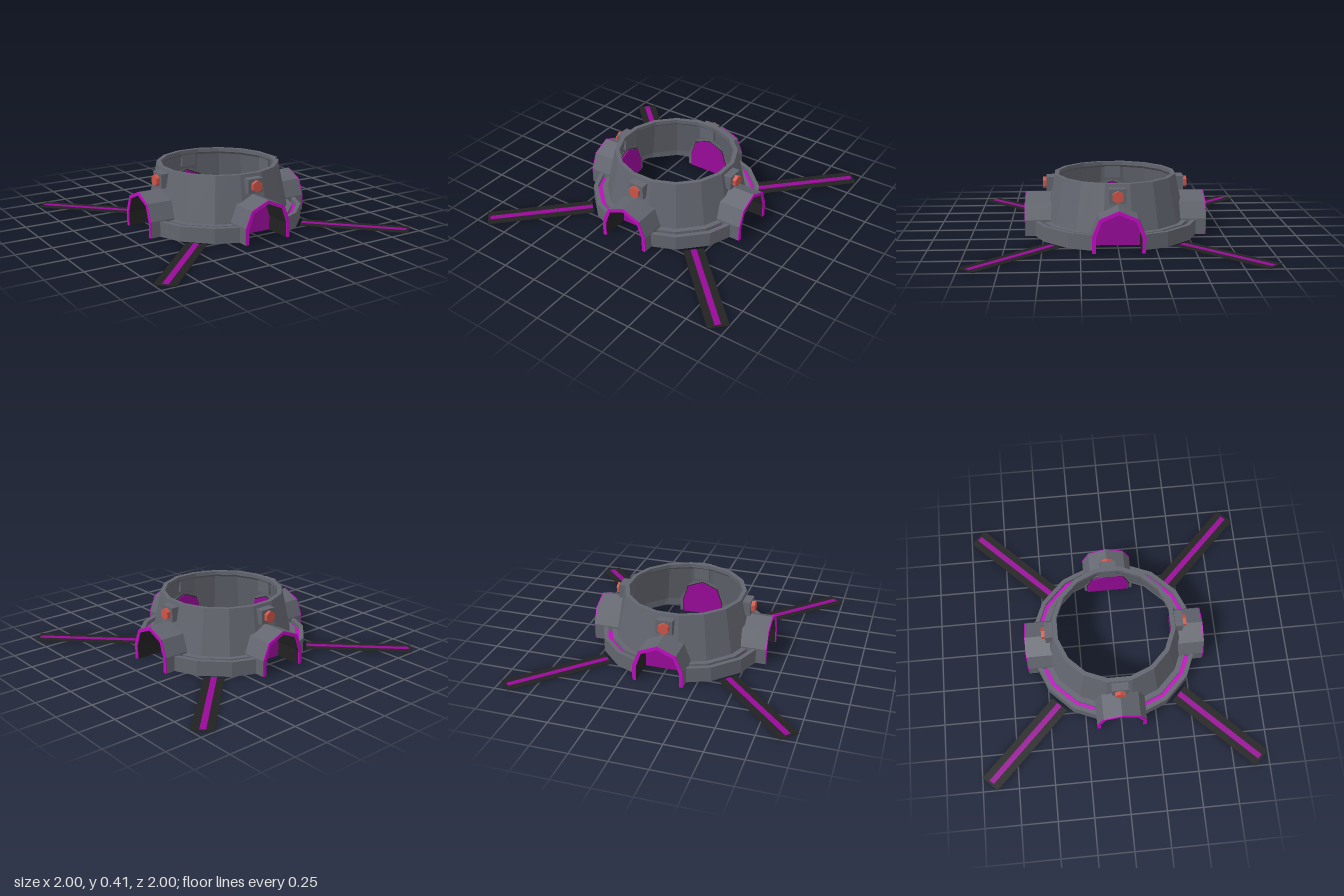
import * as THREE from 'three';

const mat = (name, color, flatShading = true) => {
  const m = new THREE.MeshStandardMaterial({ color, flatShading });
  m.name = name;
  return m;
};

// 16-sided plan, with flats facing the axes
const HALF = Math.PI / 16;
const S = Math.sin(2 * HALF), C = Math.cos(2 * HALF);

// Columns give the [x, z] plan position for a ring of apothem a
const corner = k => a => {
  const r = a / Math.cos(HALF), t = k * HALF;
  return [r * Math.sin(t), r * Math.cos(t)];
};
const offset = t => a => [t, (a - t * S) / C];
const axis = a => [0, a];
const swap = col => a => { const [x, z] = col(a); return [z, x]; };

// Columns and cut heights over half a quadrant, mirrored about the diagonal
const mirrored = list => [...list, ...list.slice().reverse().map(([c, y]) => [swap(c), y])];
const wallColumns = mirrored([
  [axis, 0.262], [corner(1), 0.23], [offset(0.13), 0.19], [offset(0.16), 0.1], [corner(3), 0.1],
]);
const bandColumns = mirrored([[offset(0.16), 0], [corner(3), 0]]);

// Loft a closed [apothem, y] profile along the columns
function loft(columns, profileAt) {
  const pos = [], index = [];
  let n = 0;
  columns.forEach(([col, yb]) => {
    const profile = profileAt(yb);
    n = profile.length;
    profile.forEach(([a, y]) => { const [x, z] = col(a); pos.push(x, y, z); });
  });
  for (let i = 0; i < columns.length - 1; i++) {
    for (let j = 0; j < n; j++) {
      const k = (j + 1) % n, a = i * n, b = a + n;
      index.push(a + j, b + j, b + k, a + j, b + k, a + k);
    }
  }
  const g = new THREE.BufferGeometry();
  g.setAttribute('position', new THREE.Float32BufferAttribute(pos, 3));
  g.setIndex(index);
  const flat = g.toNonIndexed();
  flat.computeVertexNormals();
  return flat;
}

// Arch outlines (right half, bottom to apex)
const OUTER = [[0.175, 0], [0.175, 0.112], [0.128, 0.225], [0, 0.28]];
const INNER = [[0.15, 0], [0.15, 0.1], [0.112, 0.207], [0, 0.255]];
const LINING = INNER.map(([x, y], i) => [x + (i < 3 ? 0.005 : 0), y + (i > 1 ? 0.005 : 0)]);
const full = half => [...half, ...half.slice(0, -1).reverse().map(([x, y]) => [-x, y])];

function extrude(points, z0, z1) {
  const shape = new THREE.Shape(points.map(([x, y]) => new THREE.Vector2(x, y)));
  return new THREE.ExtrudeGeometry(shape, { depth: z1 - z0, bevelEnabled: false }).translate(0, 0, z0);
}
const archBand = (outer, inner, z0, z1) => extrude([...full(outer), ...full(inner).reverse()], z0, z1);

export function createModel() {
  const grey = mat('slate grey', 0x62656e);
  const black = mat('black', 0x222222);
  const bright = mat('bright magenta', 0xc00cc0);
  const dark = mat('deep magenta', 0x980a98);
  const red = mat('coral red', 0xcc5448);

  const model = new THREE.Group();
  model.name = 'ringBase';

  const wallOut = y => 0.485 - 0.206 * (y - 0.1);
  const wall = loft(wallColumns, y => [
    [wallOut(y), y], [0.42, 0.415], [0.39, 0.415], [0.39, 0.388],
    [wallOut(0.37) - 0.02, 0.37], [wallOut(y) - 0.02, y],
  ]);
  const rectRing = (r0, r1, y0, y1) => loft(bandColumns, () => [[r1, y0], [r1, y1], [r0, y1], [r0, y0]]);

  // Parts repeated in each quadrant, as [name, geometry, material]
  const parts = [
    ['collarWall', wall, grey],
    ['baseBand', rectRing(0.552, 0.582, 0, 0.105), grey],
    ['baseLedge', rectRing(0.465, 0.522, 0.075, 0.1), grey],
    ['grooveInlay', rectRing(0.52, 0.554, 0.068, 0.076), bright],
    ['archShell', archBand(OUTER, LINING, 0.43, 0.623), grey],
    ['archLining', archBand(LINING, INNER, 0.43, 0.623), black],
    ['archTrim', archBand(OUTER, INNER, 0.623, 0.63), bright],
    ['archPanel', extrude(full(INNER), 0.422, 0.43), dark],
    ['boltBlock', new THREE.BoxGeometry(0.114, 0.1, 0.08).translate(0, 0.342, 0.44), grey],
    ['hexBolt', new THREE.CylinderGeometry(0.041, 0.041, 0.027, 6)
      .rotateX(Math.PI / 2).rotateZ(0).translate(0, 0.342, 0.492), red],
  ];
  // Make sure the bolt has a point at the top
  const bolt = parts[parts.length - 1][1];
  bolt.computeBoundingBox();
  if (bolt.boundingBox.max.x > 0.04) {
    bolt.translate(0, -0.342, 0).rotateZ(Math.PI / 6).translate(0, 0.342, 0);
  }

  for (let q = 0; q < 4; q++) {
    const quarter = new THREE.Group();
    quarter.name = 'quarter' + (q + 1);
    quarter.rotation.y = q * Math.PI / 2;
    for (const [name, geometry, material] of parts) {
      const mesh = new THREE.Mesh(geometry, material);
      mesh.name = name;
      quarter.add(mesh);
    }

    // Flat diagonal strip with a centre stripe
    const arm = new THREE.Group();
    arm.name = 'diagonalArm';
    arm.rotation.y = Math.PI / 4;
    const strip = new THREE.Mesh(new THREE.BoxGeometry(0.14, 0.004, 0.739), black);
    strip.name = 'armStrip';
    strip.position.set(0, 0.002, 0.9745);
    const stripe = new THREE.Mesh(new THREE.BoxGeometry(0.04, 0.002, 0.72), dark);
    stripe.name = 'armStripe';
    stripe.position.set(0, 0.005, 0.967);
    arm.add(strip, stripe);
    quarter.add(arm);
    model.add(quarter);
  }
  return model;
}
